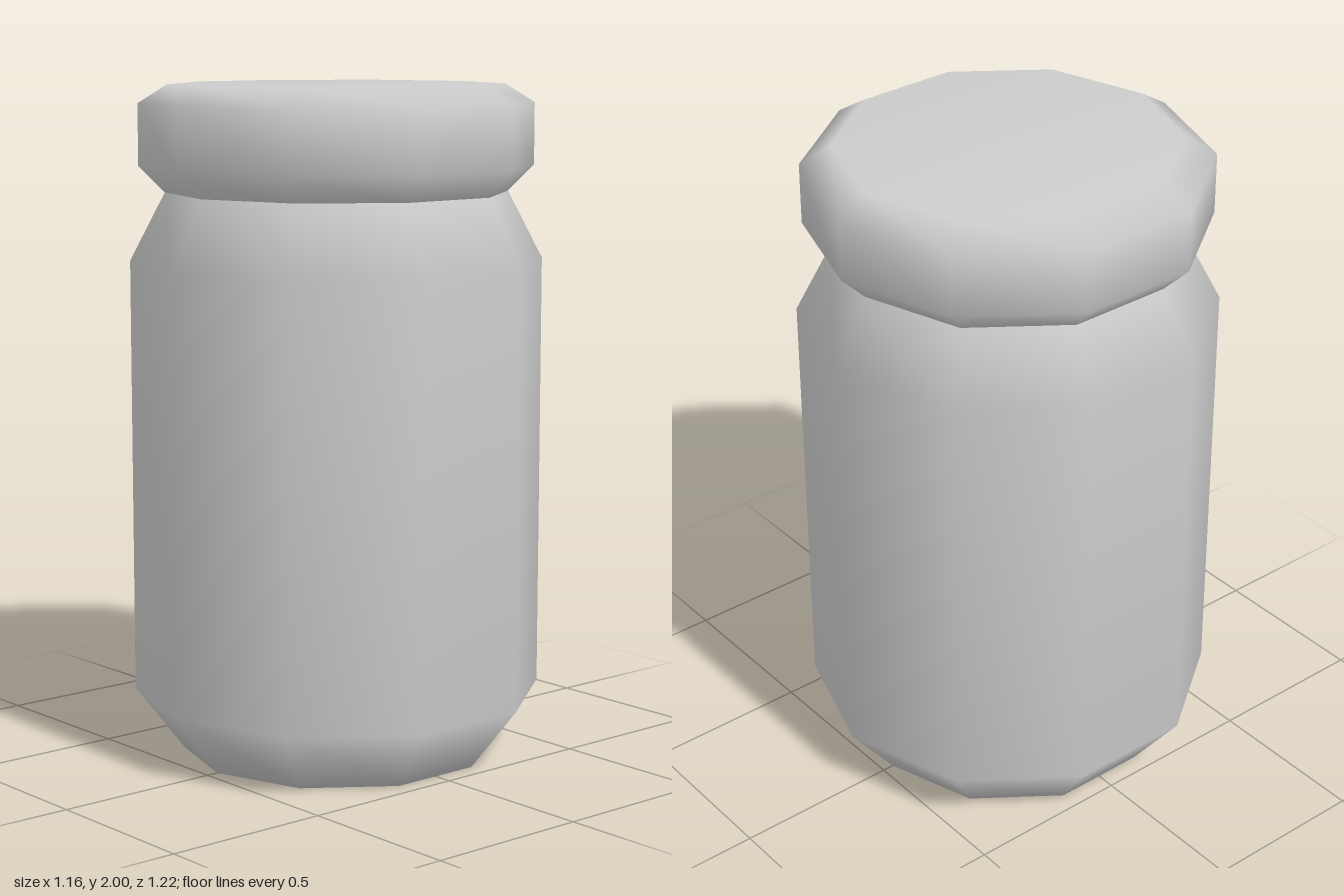
import * as THREE from 'three';

const SIDES = 10;

// Ten-sided turned part; profile points are [radius, height] from bottom to top
function turned(name, profile, material) {
  const points = profile.map(([r, y]) => new THREE.Vector2(r, y));
  const mesh = new THREE.Mesh(new THREE.LatheGeometry(points, SIDES), material);
  mesh.name = name;
  return mesh;
}

export function createModel() {
  const grey = new THREE.MeshStandardMaterial({ color: 0xcccccc });
  grey.name = 'light grey';

  const jar = new THREE.Group();
  jar.name = 'jar';

  // Body: flat base, bevelled foot, straight wall and sloping shoulder
  jar.add(turned('body', [
    [0, 0], [0.465, 0], [0.612, 0.19], [0.612, 1.485], [0.508, 1.685],
  ], grey));

  // Lid: bevelled below and above, flat top
  jar.add(turned('lid', [
    [0.508, 1.685], [0.585, 1.762], [0.585, 1.945], [0.497, 2], [0, 2],
  ], grey));

  return jar;
}
